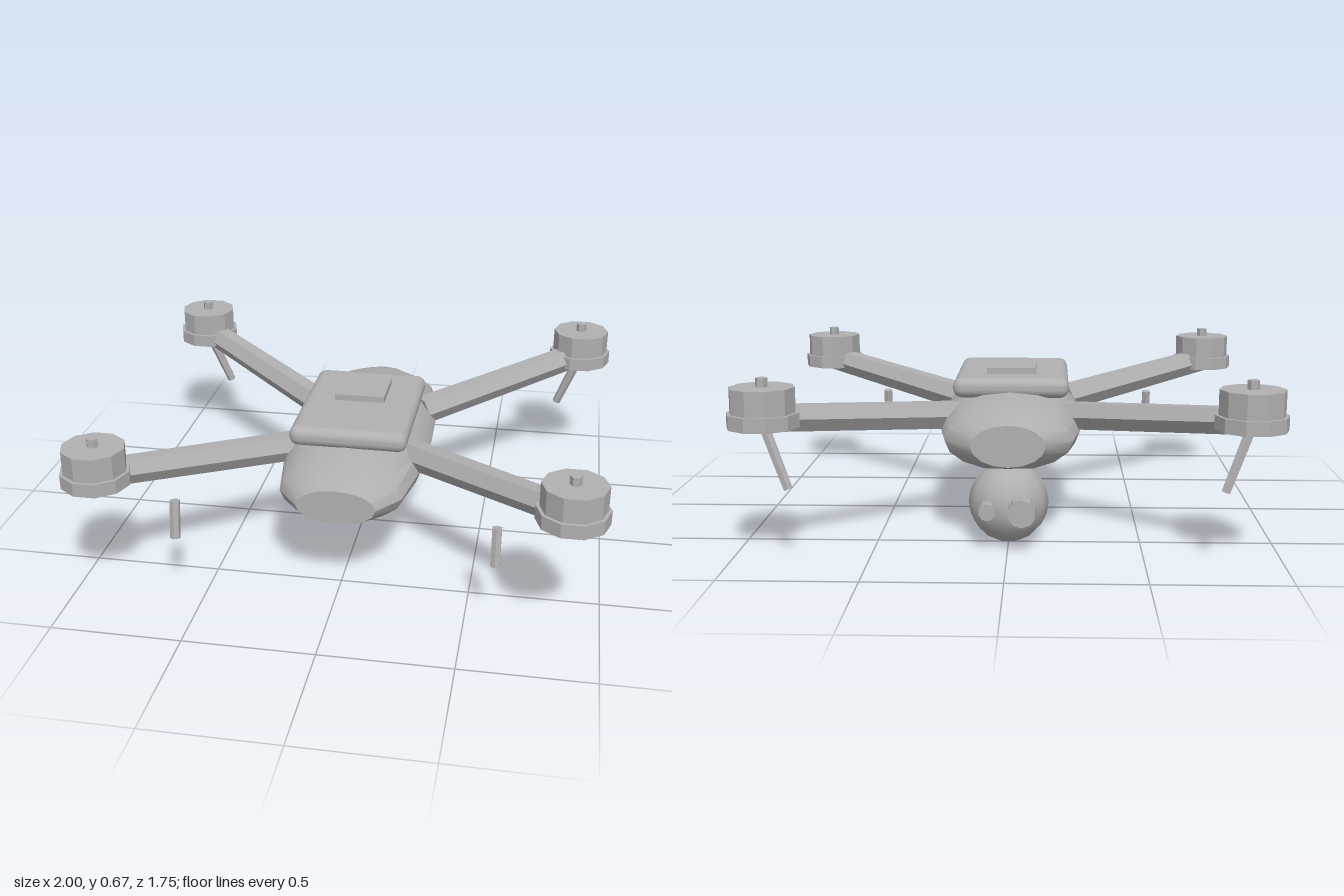
import * as THREE from 'three';
import { toCreasedNormals } from 'three/addons/utils/BufferGeometryUtils.js';
import { RoundedBoxGeometry } from 'three/addons/geometries/RoundedBoxGeometry.js';

const grey = new THREE.MeshStandardMaterial({ color: 0xb0b0b0 });
grey.name = 'grey';

function addMesh(parent, name, geometry, x = 0, y = 0, z = 0) {
  const mesh = new THREE.Mesh(geometry, grey);
  mesh.name = name;
  mesh.position.set(x, y, z);
  parent.add(mesh);
  return mesh;
}

// Cylinder with crisp rims; few-sided ones stay faceted
function cylinder(rTop, rBottom, height, sides, turn = 0) {
  const g = new THREE.CylinderGeometry(rTop, rBottom, height, sides).rotateY(turn);
  return toCreasedNormals(g, 0.5);
}

// Six-sided tapered bar between two points
function addBar(parent, name, from, to, rFrom, rTo, turn) {
  const a = new THREE.Vector3(...from), b = new THREE.Vector3(...to);
  const g = cylinder(rTo, rFrom, a.distanceTo(b), 6, turn).rotateX(Math.PI / 2);
  const bar = addMesh(parent, name, g);
  bar.position.copy(a).add(b).multiplyScalar(0.5);
  bar.lookAt(b);
}

// Closed hull through elliptical sections [z, halfWidth, halfHeight]
function hullGeometry(sections, centreY, sides) {
  const pos = [], idx = [];
  for (const [z, w, h] of sections) {
    for (let j = 0; j < sides; j++) {
      const t = (j / sides) * Math.PI * 2;
      pos.push(w * Math.cos(t), centreY + h * Math.sin(t), z);
    }
  }
  const last = sections.length - 1;
  for (let i = 0; i < last; i++) {
    for (let j = 0; j < sides; j++) {
      const k = (j + 1) % sides;
      const a = i * sides + j, b = i * sides + k, c = b + sides, d = a + sides;
      idx.push(a, d, b, b, d, c);
    }
  }
  for (let j = 1; j < sides - 1; j++) {
    idx.push(0, j, j + 1);
    idx.push(last * sides, last * sides + j + 1, last * sides + j);
  }
  const g = new THREE.BufferGeometry();
  g.setAttribute('position', new THREE.Float32BufferAttribute(pos, 3));
  g.setIndex(idx);
  return toCreasedNormals(g, 0.6);
}

export function createModel() {
  const model = new THREE.Group();
  model.name = 'quadcopter';

  // Fuselage
  const sections = [
    [0.615, 0.152, 0.07], [0.51, 0.235, 0.105], [0.25, 0.277, 0.148], [0, 0.286, 0.153],
    [-0.25, 0.277, 0.145], [-0.48, 0.243, 0.115], [-0.585, 0.14, 0.08],
  ];
  addMesh(model, 'fuselage', hullGeometry(sections, 0.388, 16));

  // Battery cover and the raised pad on it
  addMesh(model, 'batteryCover', new RoundedBoxGeometry(0.46, 0.08, 0.625, 3, 0.036), 0, 0.547, 0.065);
  addMesh(model, 'topPad', new THREE.BoxGeometry(0.2, 0.04, 0.2), 0, 0.592, -0.018);

  // Camera ball with two lenses at the back
  addMesh(model, 'cameraBall', new THREE.SphereGeometry(0.153, 12, 10), 0, 0.153, -0.48);
  const lens = (name, r, depth, x, z) =>
    addMesh(model, name, cylinder(r, r, depth, 10).rotateX(Math.PI / 2), x, 0.155, z);
  lens('largeLens', 0.053, 0.08, -0.053, -0.638);
  lens('smallLens', 0.032, 0.07, 0.075, -0.622);

  for (const sx of [1, -1]) {
    for (const sz of [1, -1]) {
      // Arm
      addBar(model, 'arm', [sx * 0.22, 0.436, sz * 0.205], [sx * 0.867, 0.524, sz * 0.75],
        0.06, 0.054, Math.PI / 2);

      // Motor
      const motor = new THREE.Group();
      motor.name = 'motor';
      motor.position.set(sx * 0.868, 0, sz * 0.75);
      addMesh(motor, 'motorBase', cylinder(0.132, 0.132, 0.053, 10, Math.PI / 2), 0, 0.5185, 0);
      addMesh(motor, 'motorBell', cylinder(0.119, 0.119, 0.092, 10, Math.PI / 2), 0, 0.591, 0);
      addMesh(motor, 'motorShaft', cylinder(0.022, 0.022, 0.04, 6, Math.PI / 2), 0, 0.65, 0);
      model.add(motor);
    }
    // Legs: the front pair hangs free, the rear pair leans in from the motors
    addBar(model, 'frontLeg', [sx * 0.605, 0.387, 0.655], [sx * 0.605, 0.24, 0.682], 0.02, 0.02, 0);
    addBar(model, 'rearLeg', [sx * 0.867, 0.5, -0.75], [sx * 0.78, 0.27, -0.779], 0.021, 0.018, 0);
  }
  return model;
}
